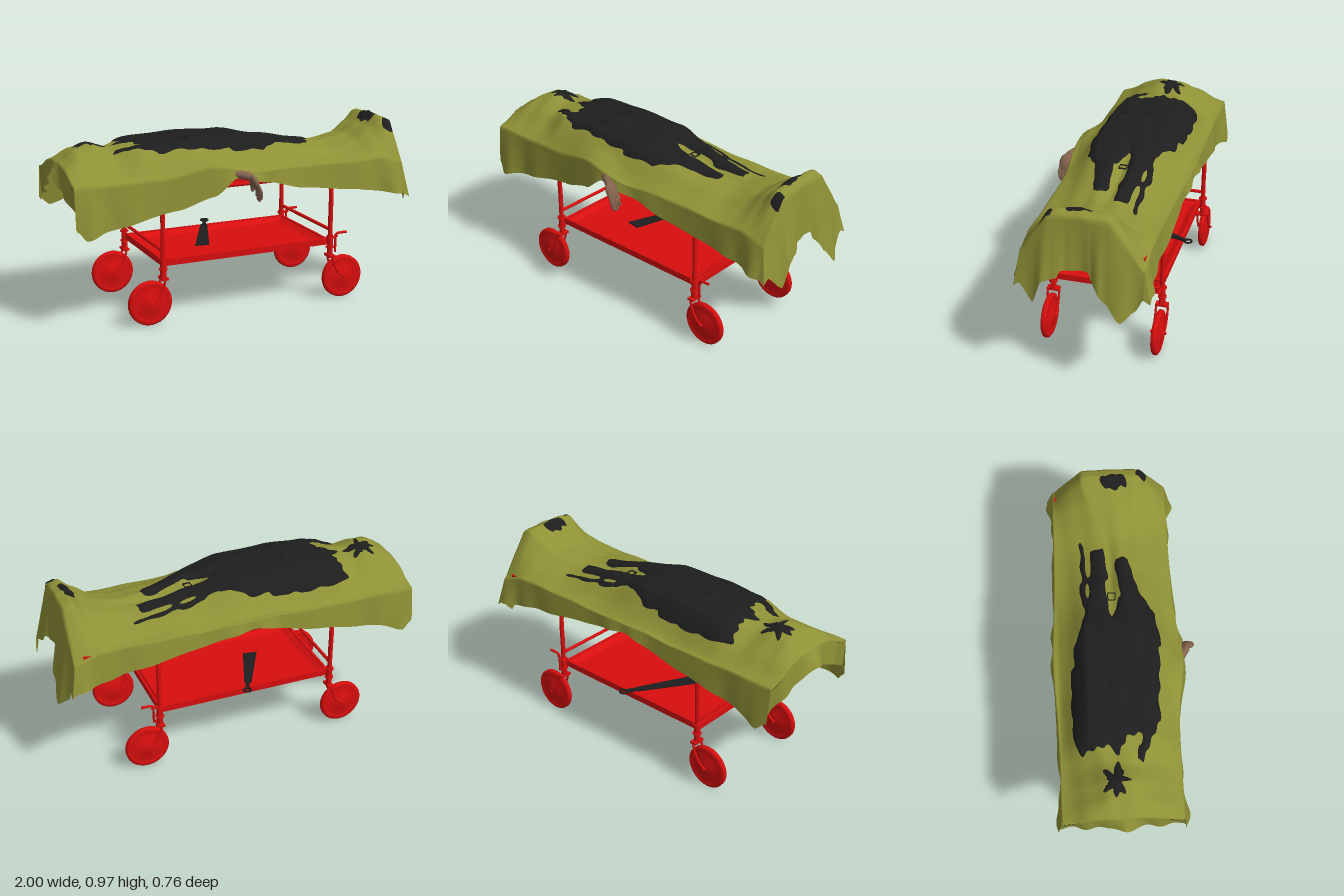
import * as THREE from 'three';

const mat = (color, side = THREE.FrontSide) => new THREE.MeshStandardMaterial({ color, side });
const red = mat(0xd80e0e), dark = mat(0x1e1e1f, THREE.DoubleSide), skin = mat(0x84634f);
const clothMat = mat(0x8f9136, THREE.DoubleSide);
const V = (x, y, z) => new THREE.Vector3(x, y, z);
const gauss = (d, w) => Math.exp(-(d * d) / (w * w));
const clamp = THREE.MathUtils.clamp, lerp = THREE.MathUtils.lerp;

// Smooth interpolation through [position, value] pairs
function ramp(pts, x) {
  if (x <= pts[0][0]) return pts[0][1];
  for (let i = 1; i < pts.length; i++) {
    const [x0, y0] = pts[i - 1], [x1, y1] = pts[i];
    if (x <= x1) { const t = (x - x0) / (x1 - x0); return lerp(y0, y1, (t + t * t * (3 - 2 * t)) / 2); }
  }
  return pts[pts.length - 1][1];
}

function add(parent, name, geo, material, x = 0, y = 0, z = 0) {
  const m = new THREE.Mesh(geo, material);
  m.name = name;
  m.position.set(x, y, z);
  parent.add(m);
  return m;
}
const box = (p, name, sx, sy, sz, x, y, z, m = red) => add(p, name, new THREE.BoxGeometry(sx, sy, sz), m, x, y, z);
function tube(p, name, pts, r, m = red) {
  const c = new THREE.CatmullRomCurve3(pts);
  return add(p, name, new THREE.TubeGeometry(c, pts.length * 8, r, 12), m);
}
function rod(p, name, a, b, r, m = red) {
  const d = b.clone().sub(a);
  const mesh = add(p, name, new THREE.CapsuleGeometry(r, d.length(), 5, 12), m);
  mesh.position.copy(a).addScaledVector(d, 0.5);
  mesh.quaternion.setFromUnitVectors(V(0, 1, 0), d.normalize());
  return mesh;
}

// Sheet from a function of grid indices
function gridGeometry(nu, nv, fn) {
  const pos = [], idx = [];
  for (let i = 0; i <= nu; i++) for (let j = 0; j <= nv; j++) pos.push(...fn(i, j));
  for (let i = 0; i < nu; i++) for (let j = 0; j < nv; j++) {
    const a = i * (nv + 1) + j, b = a + nv + 1;
    idx.push(a, a + 1, b, a + 1, b + 1, b);
  }
  const g = new THREE.BufferGeometry();
  g.setAttribute('position', new THREE.Float32BufferAttribute(pos, 3));
  g.setIndex(idx);
  g.computeVertexNormals();
  return g;
}

// Height of the covered body: crest along its length, shoulder width, hems
const CREST = [[-0.95, 0.845], [-0.86, 0.9], [-0.78, 0.92], [-0.69, 0.895], [-0.5, 0.915], [-0.3, 0.925], [0, 0.915],
  [0.2, 0.885], [0.4, 0.85], [0.55, 0.835], [0.7, 0.86], [0.8, 0.91], [0.87, 0.965], [0.92, 0.95]];
const FLAT = [[-0.94, 0.13], [-0.8, 0.06], [-0.68, 0.08], [-0.55, 0.17], [0, 0.17], [0.3, 0.11], [0.6, 0.07], [0.85, 0.155]];
const EDGE = [[0.78, 0.757], [0.92, 0.71]];
const HEM_FRONT = [[-0.95, 0.56], [-0.9, 0.5], [-0.8, 0.53], [-0.4, 0.6], [-0.22, 0.66], [-0.1, 0.745], [0.1, 0.7],
  [0.3, 0.65], [0.6, 0.61], [0.92, 0.56]];
const HEM_BACK = [[-0.95, 0.58], [-0.89, 0.53], [-0.75, 0.58], [-0.4, 0.64], [-0.05, 0.725], [0.3, 0.67], [0.6, 0.62], [0.92, 0.57]];
const HEM_FEET = [[-0.34, 0.57], [-0.3, 0.5], [-0.235, 0.445], [-0.155, 0.54], [-0.085, 0.63], [-0.07, 0.675], [0.065, 0.67],
  [0.08, 0.635], [0.15, 0.615], [0.2, 0.49], [0.28, 0.57]];
const HEM_HEAD = [[-0.32, 0.61], [-0.17, 0.69], [-0.02, 0.76], [0.13, 0.69], [0.28, 0.61]];
const X0 = -0.95, X1 = 0.92, ZC = -0.02;

function height(x, z) {
  const d = Math.abs(z - ZC), f = ramp(FLAT, x), t = clamp((d - f) / (0.31 - f), 0, 1);
  const s = lerp(t * t * (3 - 2 * t), t, ramp([[0.6, 0.6], [0.85, 1]], x));
  let y = lerp(ramp(CREST, x), ramp(EDGE, x), s) - 0.012 * Math.min(1, d / f) ** 2 * (1 - s);
  y -= 0.03 * gauss(z - ZC + 0.02, 0.035) * gauss(x - 0.32, 0.22);
  y += 0.065 * gauss(x + 0.2, 0.16) * gauss(z - 0.28, 0.06) + 0.02 * gauss(x + 0.1, 0.2) * gauss(z + 0.34, 0.05);
  return y + 0.004 * Math.sin(14 * x + 30 * z) * Math.sin(23 * z - 9 * x);
}
const zFront = x => 0.277 + 0.04 * gauss(x + 0.1, 0.22);
const zBack = x => -0.337 - 0.018 * gauss(x + 0.1, 0.3);

// Cloth: u, v run 0..1 over the top; a and b are the overhang at ends and sides
function clothPoint(u, v) {
  const cu = clamp(u, 0, 1), cv = clamp(v, 0, 1);
  const a = Math.abs(u - cu), b = Math.abs(v - cv), sx = u < 0 ? -1 : 1, sz = v < 0 ? -1 : 1;
  const x = lerp(X0, X1, cu), z = lerp(zBack(x), zFront(x), cv), h = height(x, z);
  const feet = u > 1, dz = Math.abs(z - ZC);
  const endHem = ramp(feet ? HEM_FEET : HEM_HEAD, z), sideHem = ramp(sz > 0 ? HEM_FRONT : HEM_BACK, x);
  const dropEnd = a * (h - endHem), dropSide = b * (h - sideHem);
  // Side folds stay close to the table and flare into ears by the corners
  const ear = 0.03 * gauss(Math.abs(x) - 0.88, 0.06);
  const fold = 0.006 * Math.sin(21 * x + 2 * Math.sin(8 * x) + sz) + ear;
  const endFlare = feet ? ramp([[0.06, 0.025], [0.11, 0.065], [0.22, 0.07], [0.31, 0.025]], dz)
    : 0.01 + 0.045 * gauss(z - ZC, 0.05) - 0.03 * gauss(dz - 0.3, 0.08);
  return [
    x + sx * a * (endFlare + 0.006 * Math.sin(50 * z)),
    h - Math.max(dropEnd, dropSide) - 0.15 * Math.min(dropEnd, dropSide),
    z + sz * b * (0.012 + fold),
  ];
}

// Dark clothing: signed distance to an outline in x, z (positive inside)
const SUIT = [[-0.62, -0.22], [-0.57, -0.26], [-0.25, -0.27], [-0.05, -0.24], [0.1, -0.19], [0.3, -0.15], [0.5, -0.14], [0.52, -0.07],
  [0.38, -0.06], [0.2, -0.07], [0.08, -0.04], [0.22, 0], [0.45, -0.01], [0.45, 0.06], [0.25, 0.1], [0.12, 0.18], [-0.05, 0.2],
  [-0.3, 0.18], [-0.48, 0.17], [-0.68, 0.08], [-0.66, 0.05], [-0.54, 0.09], [-0.55, 0], [-0.64, -0.04], [-0.59, -0.1]];
const STRIP = [[0.15, -0.2], [0.56, -0.195], [0.54, -0.175], [0.2, -0.165]];
function inside(poly, x, z) {
  let d = Infinity, inn = false;
  poly.forEach(([ax, az], i) => {
    const [bx, bz] = poly[(i + 1) % poly.length], ex = bx - ax, ez = bz - az;
    const t = clamp(((x - ax) * ex + (z - az) * ez) / (ex * ex + ez * ez), 0, 1);
    d = Math.min(d, Math.hypot(x - ax - t * ex, z - az - t * ez));
    if ((az > z) !== (bz > z) && x < ax + ((z - az) / ez) * ex) inn = !inn;
  });
  return inn ? d : -d;
}
function suitMask(x, z) {
  const ang = Math.atan2(z + 0.06, x + 0.77);
  const hair = 0.05 + 0.016 * Math.sin(5 * ang) + 0.012 * Math.sin(8 * ang + 1) - Math.hypot((x + 0.77) * 0.7, z + 0.06);
  const toes = 0.035 - Math.hypot(x - 0.85, z * 0.5);
  const heel = 0.025 - Math.hypot((x - 0.9) * 0.7, (z - 0.15) * 0.7);
  const rag = 0.007 * Math.sin(35 * x + 25 * z) * Math.sin(90 * z - 10 * x) + 0.004 * Math.sin(110 * z + 40 * x);
  return Math.max(inside(SUIT, x, z), inside(STRIP, x, z), hair, toes, heel) + rag;
}

export function createModel() {
  const g = new THREE.Group();

  // Sheet and the clothed body showing through it
  const NU = 160, NV = 80, K = 14;
  add(g, 'sheet', gridGeometry(NU + 2 * K, NV + 2 * K, (i, j) => {
    const over = (n, N) => n < K ? (n - K) / K : n > N + K ? 1 + (n - N - K) / K : (n - K) / N;
    return clothPoint(over(i, NU), over(j, NV));
  }), clothMat);
  add(g, 'clothedBody', gridGeometry(NU, NV, (i, j) => {
    const [x, y, z] = clothPoint(i / NU, j / NV);
    return [x, y + clamp(suitMask(x, z) * 0.5, -0.01, 0.008), z];
  }), dark);

  // Belt buckles
  for (const [x, z] of [[-0.3, -0.04], [-0.3, 0.09], [0.22, -0.04]]) {
    const b = add(g, 'buckle', new THREE.TorusGeometry(0.027, 0.004, 6, 4), dark, x, height(x, z) + 0.009, z);
    b.rotation.set(Math.PI / 2, 0, Math.PI / 4);
  }

  // Hanging arm and hand
  const hand = new THREE.Group();
  hand.name = 'hand';
  g.add(hand);
  rod(hand, 'forearm', V(-0.15, 0.775, 0.27), V(-0.045, 0.755, 0.335), 0.022, skin);
  const palm = add(hand, 'palm', new THREE.SphereGeometry(1, 20, 14), skin, -0.012, 0.722, 0.345);
  palm.scale.set(0.02, 0.05, 0.038);
  palm.rotation.z = 0.45;
  for (let k = 0; k < 4; k++) {
    const z = 0.325 + k * 0.016, drop = [0.02, 0.004, 0, 0.012][k];
    tube(hand, 'finger', [V(-0.002, 0.71, z), V(0.014, 0.672, z + 0.002), V(0.018, 0.624 + drop, z - 0.006)], 0.0085, skin);
    add(hand, 'fingertip', new THREE.SphereGeometry(0.0085, 10, 8), skin, 0.018, 0.624 + drop, z - 0.006);
  }
  rod(hand, 'thumb', V(-0.02, 0.73, 0.32), V(0, 0.67, 0.305), 0.009, skin);

  // Upper table: plate, rim and cross rails
  const zc = -0.03;
  box(g, 'tablePlate', 1.72, 0.012, 0.575, 0, 0.722, zc);
  for (const s of [-1, 1]) {
    box(g, 'tableSideRim', 1.74, 0.034, 0.014, 0, 0.727, zc + s * 0.289);
    box(g, 'tableEndRim', 0.014, 0.034, 0.575, s * 0.863, 0.727, zc);
    rod(g, 'tableRail', V(-0.5, 0.692, zc + s * 0.27), V(0.5, 0.692, zc + s * 0.27), 0.012);
    rod(g, 'crossRail', V(s * 0.16, 0.7, zc - 0.27), V(s * 0.16, 0.7, zc + 0.27), 0.01);
  }

  // Lower tray with sloped lip
  box(g, 'lowerPlate', 0.94, 0.008, 0.53, 0, 0.306, zc);
  for (const s of [-1, 1]) {
    box(g, 'lowerSideRim', 0.97, 0.034, 0.014, 0, 0.319, zc + s * 0.27);
    box(g, 'lowerEndRim', 0.014, 0.034, 0.54, s * 0.478, 0.319, zc);
    box(g, 'sideLip', 0.94, 0.006, 0.05, 0, 0.317, zc + s * 0.245).rotation.x = -s * 0.5;
    box(g, 'endLip', 0.05, 0.006, 0.53, s * 0.455, 0.317, zc).rotation.z = s * 0.5;
  }

  // Leg arches with end rails, forks, casters and brake levers
  const wheelProfile = [[0, 0.027], [0.02, 0.026], [0.05, 0.018], [0.088, 0.01], [0.093, 0.015], [0.108, 0.015], [0.118, 0.008]];
  const lathePts = [...wheelProfile.map(([r, y]) => [r, -y]), ...wheelProfile.slice().reverse()].map(p => new THREE.Vector2(...p));
  const wheelGeo = new THREE.LatheGeometry(lathePts, 40);
  for (const s of [-1, 1]) {
    const x = s * 0.487, zf = 0.265, zb = -0.32;
    tube(g, 'legArch', [V(x, 0.25, zf), V(x, 0.45, zf), V(x, 0.61, zf), V(x, 0.665, zf - 0.015), V(x, 0.685, zf - 0.06),
      V(x, 0.685, zc), V(x, 0.685, zb + 0.06), V(x, 0.665, zb + 0.015), V(x, 0.61, zb), V(x, 0.45, zb), V(x, 0.25, zb)], 0.0125);
    rod(g, 'endRail', V(x, 0.39, zb), V(x, 0.39, zf), 0.009);
    for (const z of [zf, zb]) {
      const c = new THREE.Group();
      c.name = 'caster';
      c.position.set(0, 0, z);
      g.add(c);
      add(c, 'legSleeve', new THREE.CylinderGeometry(0.016, 0.016, 0.11, 16), red, x, 0.305, 0);
      for (const y of [0.294, 0.348]) add(c, 'collar', new THREE.CylinderGeometry(0.023, 0.023, 0.007, 16), red, x, y, 0);
      box(c, 'forkCrown', 0.035, 0.012, 0.066, x, 0.246, 0);
      for (const k of [-1, 1]) {
        tube(c, 'forkProng', [V(x, 0.245, k * 0.031), V(x + s * 0.012, 0.2, k * 0.031), V(x + s * 0.035, 0.155, k * 0.031),
          V(s * 0.56, 0.122, k * 0.031)], 0.006);
      }
      add(c, 'wheel', wheelGeo, red, s * 0.562, 0.121, 0).rotation.x = Math.PI / 2;
      add(c, 'axle', new THREE.CylinderGeometry(0.008, 0.008, 0.084, 12), red, s * 0.562, 0.121, 0).rotation.x = Math.PI / 2;
      if (s > 0) {
        rod(c, 'brakeRod', V(0.52, 0.265, 0), V(0.52, 0.36, 0), 0.006);
        rod(c, 'brakeLink', V(0.487, 0.348, 0), V(0.53, 0.348, 0), 0.005);
        tube(c, 'brakeLever', [V(0.52, 0.35, 0), V(0.53, 0.364, 0), V(0.555, 0.367, 0), V(0.588, 0.367, 0)], 0.007);
      }
    }
  }

  // Saw lying across the lower tray, its handle on the back rim
  const saw = new THREE.Group();
  saw.name = 'saw';
  saw.position.set(-0.06, 0.334, -0.2);
  saw.rotation.set(0.07, -0.43, 0, 'YXZ');
  g.add(saw);
  const blade = new THREE.Shape([[-0.04, -0.26], [0.035, -0.24], [0.018, 0.08], [-0.02, 0.08]].map(p => new THREE.Vector2(...p)));
  add(saw, 'sawBlade', new THREE.ExtrudeGeometry(blade, { depth: 0.006, bevelEnabled: false }), dark).rotation.x = -Math.PI / 2;
  box(saw, 'sawGrip', 0.02, 0.012, 0.07, 0, 0.003, -0.11, dark);
  add(saw, 'sawRing', new THREE.TorusGeometry(0.02, 0.005, 8, 20), dark, 0, 0.003, -0.16).rotation.x = Math.PI / 2;

  return g;
}
